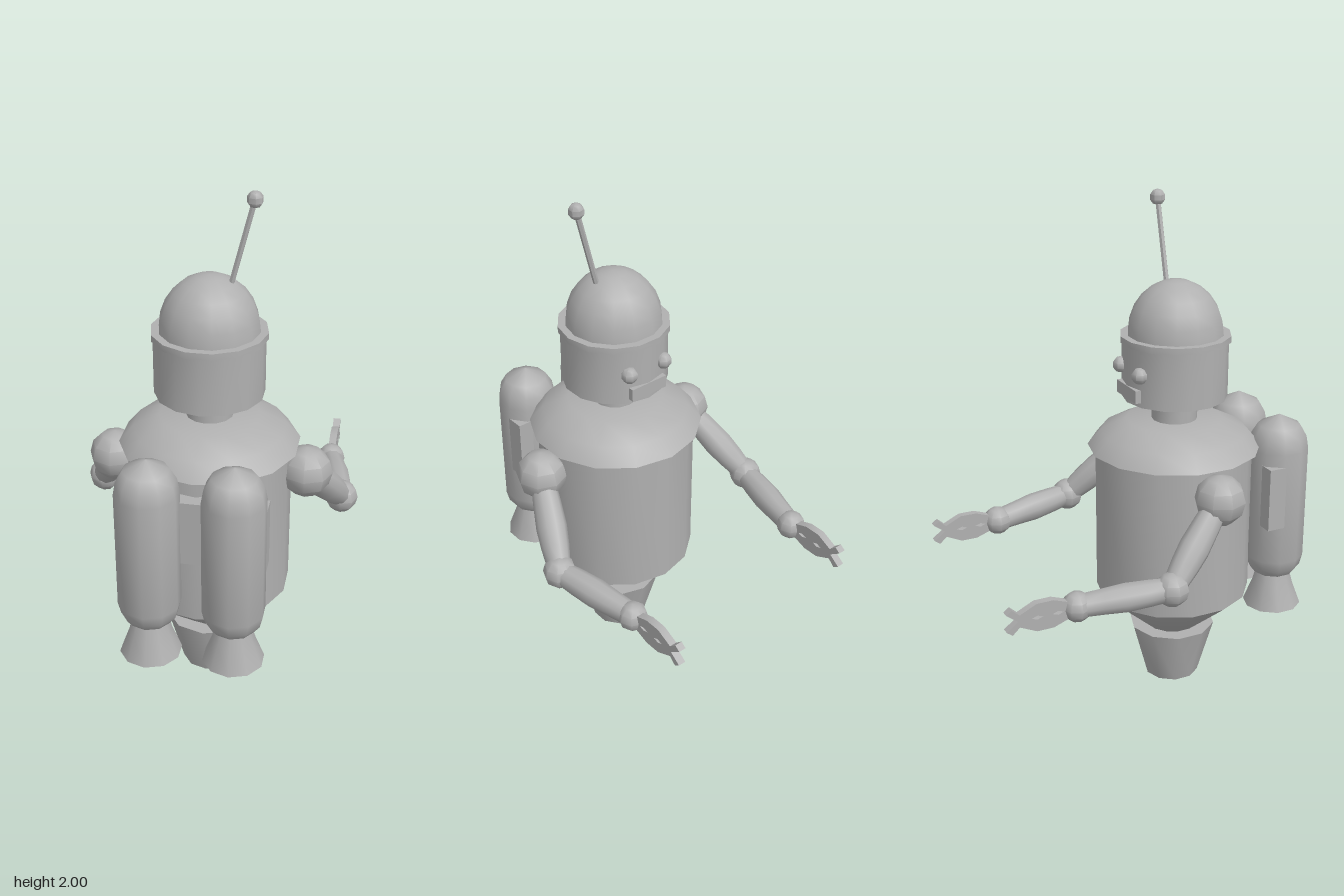
import * as THREE from 'three';
import { toCreasedNormals } from 'three/addons/utils/BufferGeometryUtils.js';

const metal = new THREE.MeshStandardMaterial({ color: 0xb0b0b0 });
metal.name = 'grey metal';

const AXIS_Z = 0.187; // depth of the body's axis
const V = (x, y, z) => new THREE.Vector3(x, y, z);

function add(parent, name, geometry, x = 0, y = 0, z = 0) {
  const mesh = new THREE.Mesh(toCreasedNormals(geometry, 0.8), metal);
  mesh.name = name;
  mesh.position.set(x, y, z);
  parent.add(mesh);
  return mesh;
}

// Turned solid from [radius, height] pairs listed bottom to top
const turned = (profile, sides) =>
  new THREE.LatheGeometry(profile.map(([r, y]) => new THREE.Vector2(r, y)), sides);

// Turned solid laid between two points; profile heights run 0..1
function limb(parent, name, a, b, profile, sides) {
  const dir = b.clone().sub(a);
  const len = dir.length();
  const mesh = add(parent, name, turned(profile.map(([r, t]) => [r, t * len]), sides), a.x, a.y, a.z);
  mesh.quaternion.setFromUnitVectors(V(0, 1, 0), dir.normalize());
  return mesh;
}

// Flat pincer outline in (forward, up), extruded sideways
function clawGeometry() {
  const half = [[0, 0.035], [0.055, 0.055], [0.12, 0.055], [0.185, 0.024], [0.213, 0.05], [0.235, 0.034], [0.19, 0]];
  const lower = half.slice(0, -1).reverse().map(([u, v]) => [u, -v]);
  const shape = new THREE.Shape([...half, ...lower].map(([u, v]) => new THREE.Vector2(u, v)));
  // two narrow slots along the middle
  for (const [u0, u1] of [[0.015, 0.06], [0.095, 0.14]]) {
    const m = (u0 + u1) / 2;
    shape.holes.push(new THREE.Path([[u0, 0], [m, -0.008], [u1, 0], [m, 0.008]].map(p => new THREE.Vector2(...p))));
  }
  const g = new THREE.ExtrudeGeometry(shape, { depth: 0.03, bevelEnabled: false });
  g.translate(0, 0, -0.015);
  g.rotateY(Math.PI / 2); // forward becomes -z
  return g;
}

function makeArm(side) {
  const arm = new THREE.Group();
  arm.name = side > 0 ? 'leftArm' : 'rightArm';
  const shoulder = V(0.37 * side, 0.92, 0.19);
  const elbow = V(0.49 * side, 0.66, -0.072);
  const wrist = V(0.415 * side, 0.635, -0.42);
  const ball = (name, p, r) => add(arm, name, new THREE.SphereGeometry(r, 8, 6), p.x, p.y, p.z);
  ball('shoulderJoint', shoulder, 0.1);
  ball('elbowJoint', elbow, 0.066);
  ball('wristJoint', wrist, 0.058);
  const muscle = [[0.045, 0], [0.054, 0.28], [0.06, 0.55], [0.055, 0.75], [0.043, 1]];
  limb(arm, 'upperArm', shoulder, elbow, muscle, 10);
  limb(arm, 'forearm', elbow, wrist, [[0.045, 0], [0.052, 0.25], [0.056, 0.5], [0.05, 0.72], [0.044, 1]], 10);
  add(arm, 'claw', clawGeometry(), wrist.x, 0.635, -0.462);
  return arm;
}

function makeRocket(side) {
  const rocket = new THREE.Group();
  rocket.name = side > 0 ? 'leftRocket' : 'rightRocket';
  rocket.position.set(0.158 * side, 0, 0.575);
  add(rocket, 'tank', turned([[0, 0.455], [0.085, 0.455], [0.108, 0.485], [0.119, 0.53],
    [0.119, 1.0], [0.11, 1.05], [0.085, 1.093], [0, 1.135]], 10));
  // hollow flared nozzle: inner wall, rim, outer wall
  add(rocket, 'nozzle', turned([[0, 0.43], [0.05, 0.43], [0.1, 0.305], [0.118, 0.305],
    [0.082, 0.4], [0.066, 0.46]], 10));
  return rocket;
}

export function createModel() {
  const robot = new THREE.Group();
  robot.name = 'robot';

  // Body stack
  add(robot, 'base', turned([[0, 0], [0.111, 0], [0.175, 0.23], [0, 0.23]], 10), 0, 0, AXIS_Z);
  add(robot, 'waist', turned([[0, 0.22], [0.1, 0.22], [0.312, 0.403]], 14), 0, 0, AXIS_Z);
  add(robot, 'torso', turned([[0, 0.403], [0.312, 0.403], [0.312, 1.03]], 14), 0, 0, AXIS_Z);
  add(robot, 'shoulderCap', turned([[0, 1.02], [0.343, 1.02], [0.29, 1.083], [0.19, 1.132], [0, 1.132]], 14), 0, 0, AXIS_Z);
  add(robot, 'neck', new THREE.CylinderGeometry(0.09, 0.09, 0.13, 14), 0, 1.175, AXIS_Z);

  // Head
  const head = new THREE.Group();
  head.name = 'head';
  robot.add(head);
  add(head, 'face', new THREE.CylinderGeometry(0.207, 0.207, 0.235, 14), 0, 1.342, AXIS_Z);
  add(head, 'headBand', turned([[0, 1.45], [0.217, 1.45], [0.217, 1.475], [0, 1.475]], 14), 0, 0, AXIS_Z)
    .rotation.y = Math.PI / 2;
  const dome = new THREE.SphereGeometry(0.188, 14, 6, 0, Math.PI * 2, 0, Math.PI / 2);
  dome.scale(1, 0.212 / 0.188, 1);
  add(head, 'dome', dome, 0, 1.473, AXIS_Z);
  for (const side of [-1, 1])
    add(head, side > 0 ? 'leftEye' : 'rightEye', new THREE.SphereGeometry(0.033, 7, 5), 0.083 * side, 1.352, -0.006);
  add(head, 'mouth', new THREE.BoxGeometry(0.165, 0.05, 0.04), 0, 1.268, -0.003);

  // Antenna
  limb(head, 'antennaRod', V(0.075, 1.64, AXIS_Z), V(0.16, 1.97, AXIS_Z), [[0.011, 0], [0.011, 1]], 6);
  add(head, 'antennaBall', new THREE.SphereGeometry(0.031, 7, 5), 0.16, 1.969, AXIS_Z);

  // Jetpack and arms
  add(robot, 'jetpackMount', new THREE.BoxGeometry(0.544, 0.26, 0.075), 0, 0.82, 0.51);
  for (const side of [-1, 1]) {
    robot.add(makeRocket(side));
    robot.add(makeArm(side));
  }
  return robot;
}
